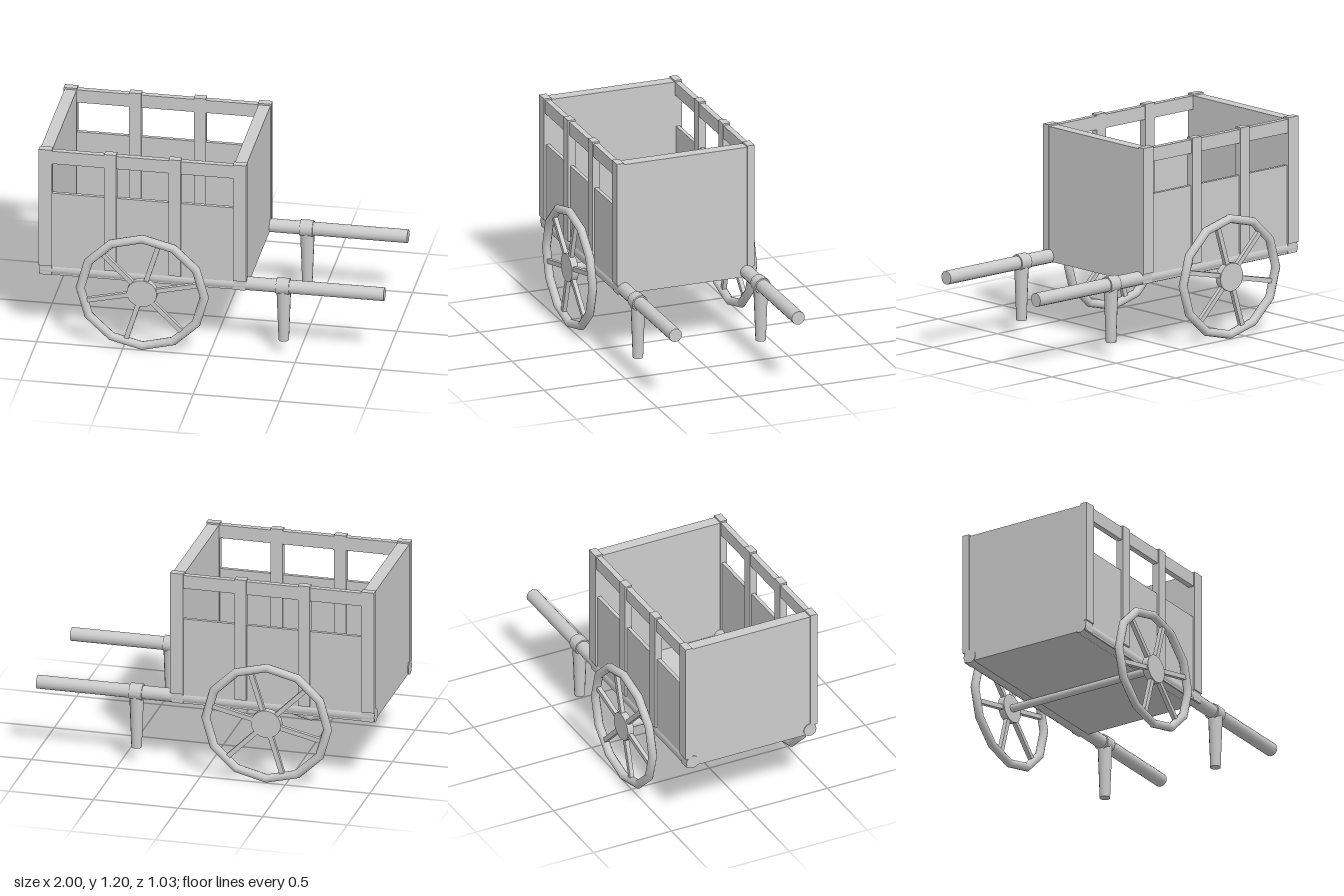
import * as THREE from 'three';

const material = new THREE.MeshStandardMaterial({ color: 0xcccccc });
const MID_Z = 0.013; // the body sits slightly off the wheel centre line

function add(parent, name, geometry, x = 0, y = 0, z = 0) {
  const mesh = new THREE.Mesh(geometry, material);
  mesh.name = name;
  mesh.position.set(x, y, z);
  parent.add(mesh);
  return mesh;
}

// Box given by its limits on each axis
function slab(parent, name, [x0, x1], [y0, y1], [z0, z1]) {
  return add(parent, name, new THREE.BoxGeometry(x1 - x0, y1 - y0, z1 - z0),
    (x0 + x1) / 2, (y0 + y1) / 2, (z0 + z1) / 2);
}

function createWheel() {
  const wheel = new THREE.Group();
  wheel.name = 'wheel';
  add(wheel, 'rim', new THREE.TorusGeometry(0.34, 0.025, 10, 12));
  add(wheel, 'hub', new THREE.CylinderGeometry(0.083, 0.083, 0.04, 20).rotateX(Math.PI / 2));
  for (let i = 0; i < 6; i++) {
    const spoke = new THREE.BoxGeometry(0.27, 0.027, 0.025).translate(0.2, 0, 0);
    add(wheel, 'spoke', spoke).rotation.z = 0.24 + i * Math.PI / 3;
  }
  wheel.scale.x = 1.06;
  return wheel;
}

export function createModel() {
  const cart = new THREE.Group();
  cart.name = 'handcart';

  const body = new THREE.Group();
  body.name = 'body';
  body.position.z = MID_Z;
  cart.add(body);

  // Floor and thick end walls
  slab(body, 'floor', [-0.99, 0.19], [0.4, 0.44], [-0.41, 0.41]);
  slab(body, 'rearWall', [-0.995, -0.925], [0.4, 1.19], [-0.415, 0.415]);
  slab(body, 'frontWall', [0.13, 0.2], [0.4, 1.19], [-0.415, 0.415]);

  for (const side of [1, -1]) {
    const zRange = (a, b) => (side > 0 ? [a, b] : [-b, -a]);

    // Side panel, top rail and upright posts
    slab(body, 'sidePanel', [-0.96, 0.16], [0.4, 0.92], zRange(0.388, 0.41));
    slab(body, 'topRail', [-0.96, 0.16], [1.11, 1.19], zRange(0.382, 0.416));
    for (const [x0, x1] of [[-1, -0.923], [-0.62, -0.55], [-0.245, -0.175], [0.128, 0.205]]) {
      slab(body, 'post', [x0, x1], [0.46, 1.2], zRange(0.379, 0.423));
    }

    // Shaft with its collar and prop leg
    const z = side * 0.377;
    add(body, 'shaft', new THREE.CylinderGeometry(0.04, 0.04, 2, 14).rotateZ(Math.PI / 2), 0, 0.43, z);
    add(body, 'collar', new THREE.CylinderGeometry(0.049, 0.049, 0.075, 10).rotateZ(Math.PI / 2), 0.413, 0.43, z);
    add(body, 'propLeg', new THREE.CylinderGeometry(0.042, 0.03, 0.33, 14), 0.415, 0.255, z);

    const wheel = createWheel();
    wheel.position.set(-0.388, 0.368, side * 0.491);
    cart.add(wheel);
  }

  add(cart, 'axle', new THREE.CylinderGeometry(0.023, 0.023, 0.97, 14).rotateX(Math.PI / 2), -0.388, 0.368, 0);

  return cart;
}
